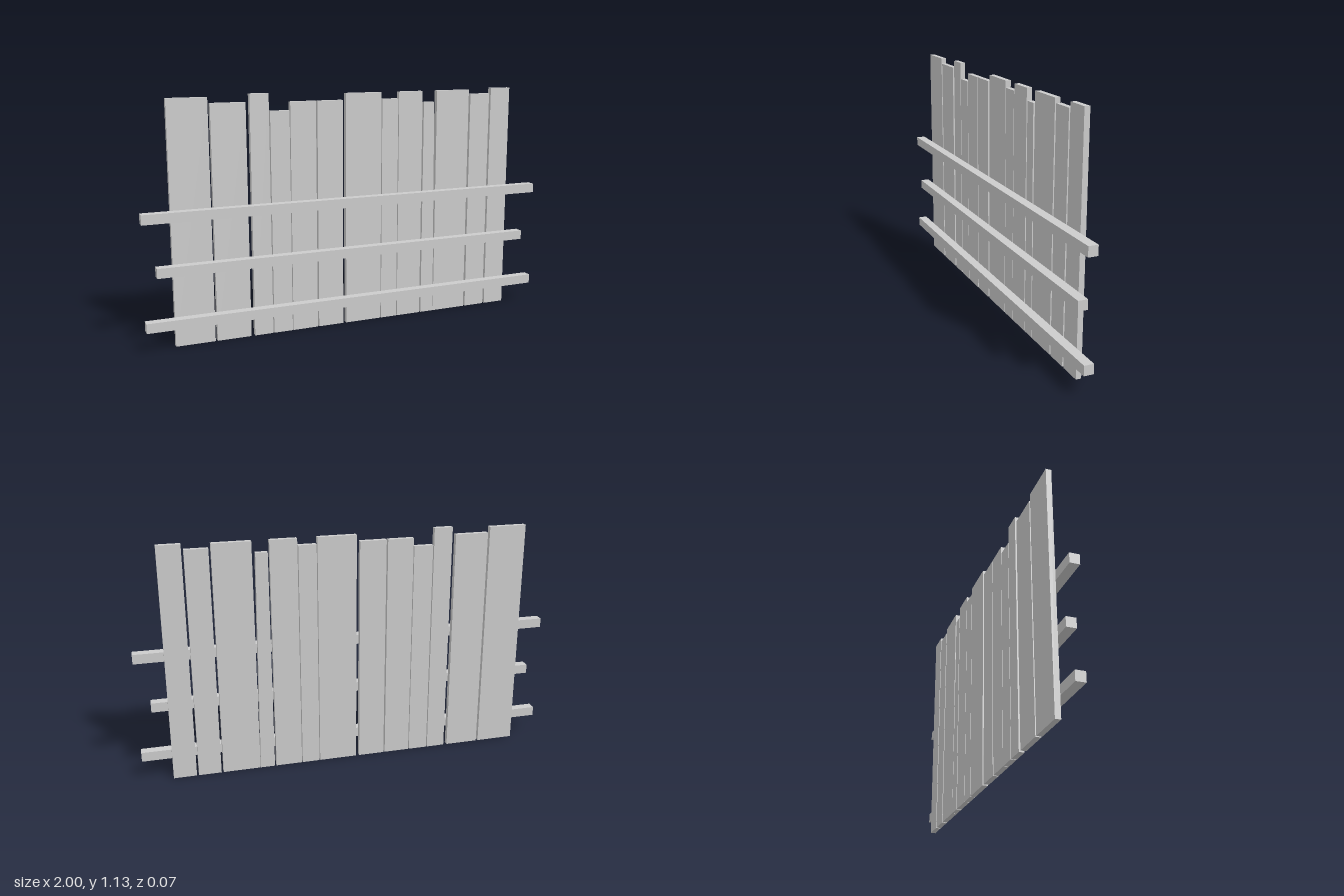
import * as THREE from 'three';

const BACK = -0.0345, JOINT = -0.0095, FRONT = 0.0345;

export function createModel() {
  const group = new THREE.Group();
  group.name = 'plankFence';
  const material = new THREE.MeshStandardMaterial({ color: 0xcccccc, flatShading: true });

  const add = (name, geometry) => {
    const mesh = new THREE.Mesh(geometry, material);
    mesh.name = name;
    group.add(mesh);
    return mesh;
  };

  // Upright planks: left edge, right edge, height, optional right edge at the foot
  const planks = [
    [-0.866, -0.684, 1.118],
    [-0.674, -0.513, 1.091],
    [-0.495, -0.406, 1.128],
    [-0.401, -0.309, 1.048],
    [-0.305, -0.181, 1.087],
    [-0.174, -0.048, 1.087],
    [-0.032, 0.151, 1.118],
    [0.155, 0.239, 1.086],
    [0.243, 0.369, 1.118],
    [0.377, 0.433, 1.064, 0.446],
    [0.448, 0.626, 1.118],
    [0.636, 0.743, 1.097],
    [0.753, 0.861, 1.123],
  ];
  planks.forEach(([x0, x1, height, foot = x1], i) => {
    const outline = new THREE.Shape([
      new THREE.Vector2(x0, 0),
      new THREE.Vector2(foot, 0),
      new THREE.Vector2(x1, height),
      new THREE.Vector2(x0, height),
    ]);
    const geometry = new THREE.ExtrudeGeometry(outline, { depth: JOINT - BACK, bevelEnabled: false });
    add(`plank${i + 1}`, geometry).position.z = BACK;
  });

  // Horizontal rails across the front: name, half length, centre x, centre y
  const rails = [
    ['lowerRail', 1, 0, 0.117],
    ['middleRail', 0.94, -0.003, 0.362],
    ['upperRail', 1, 0, 0.606],
  ];
  for (const [name, half, x, y] of rails) {
    add(name, new THREE.BoxGeometry(half * 2, 0.045, FRONT - JOINT))
      .position.set(x, y, (FRONT + JOINT) / 2);
  }

  return group;
}
